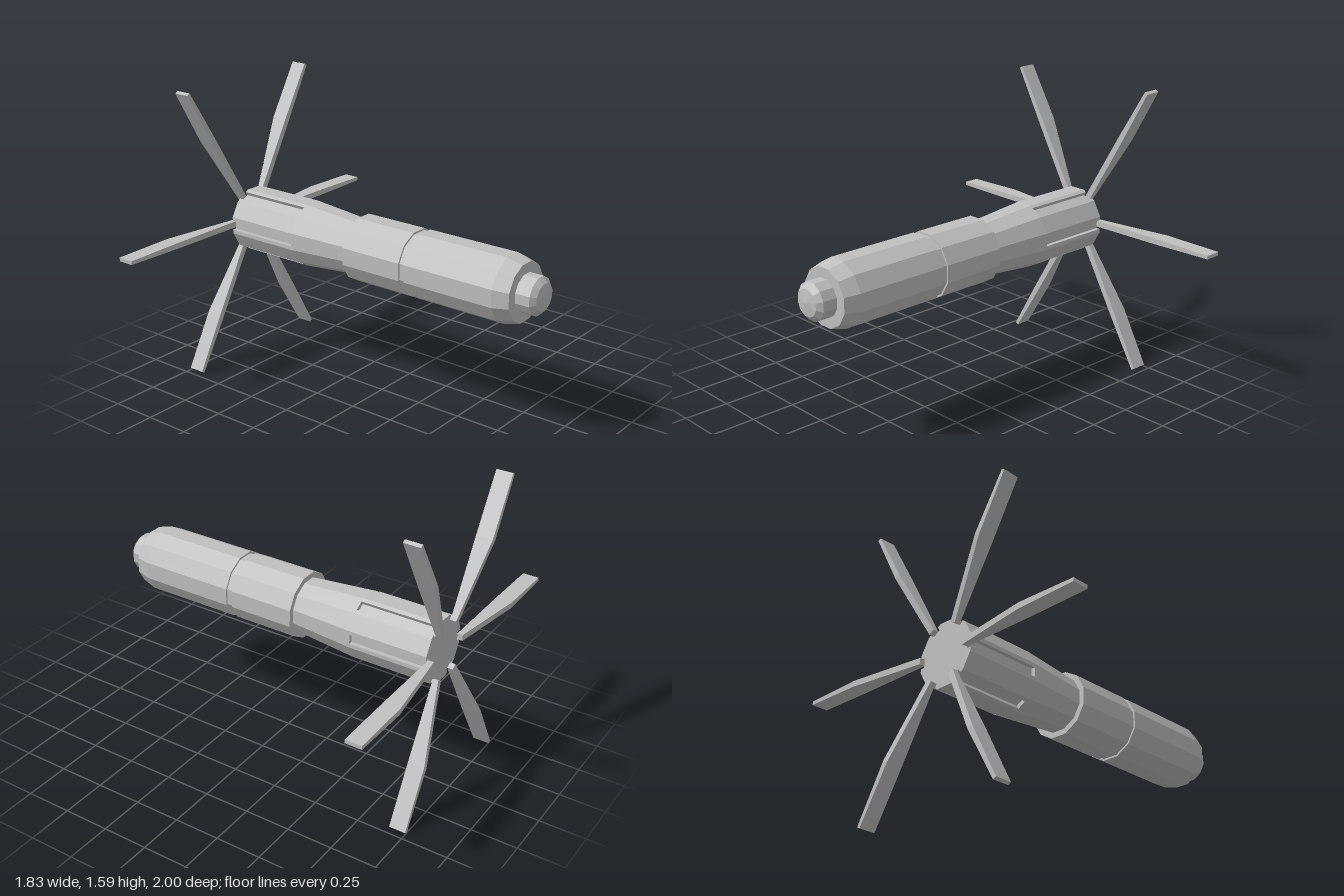
import * as THREE from 'three';

const SIDES = 12, AXIS_Y = 0.8;
const APOTHEM = Math.cos(Math.PI / SIDES); // profile radii are measured to the flats
const metal = new THREE.MeshStandardMaterial({ color: 0xc0c0c0, flatShading: true });
metal.name = 'greyMetal';

// Twelve-sided turned part along z; profile is [z, radius to flat], rear to front
function turned(name, profile) {
  const pts = profile.map(([z, r]) => new THREE.Vector2(r / APOTHEM, z));
  const geo = new THREE.LatheGeometry(pts, SIDES, Math.PI / SIDES);
  geo.rotateX(Math.PI / 2);
  const mesh = new THREE.Mesh(geo, metal);
  mesh.name = name;
  return mesh;
}

// Tail barrel: twelve-sided prism with a slot in every second flat
function slottedTail() {
  const shape = new THREE.Shape();
  const r = 0.175, floor = 0.152, half = 0.026;
  const side = r * Math.tan(Math.PI / SIDES);
  for (let i = 0; i < 6; i++) {
    const a = (i * Math.PI) / 3, c = Math.cos(a), s = Math.sin(a);
    [[r, -side], [r, -half], [floor, -half], [floor, half], [r, half], [r, side]].forEach(([u, v], k) => {
      const x = u * c - v * s, y = u * s + v * c;
      if (i === 0 && k === 0) shape.moveTo(x, y);
      else shape.lineTo(x, y);
    });
  }
  const geo = new THREE.ExtrudeGeometry(shape, { depth: 0.43, bevelEnabled: false });
  geo.translate(0, 0, -0.91);
  const mesh = new THREE.Mesh(geo, metal);
  mesh.name = 'slottedTail';
  return mesh;
}

// Fin blade from rectangular sections: [distance from axis, rear z, half thickness]
function finGeometry() {
  const sections = [[0.15, -0.94, 0.017], [0.58, -1, 0.016], [0.915, -1, 0.01]];
  const front = -0.91, pos = [], idx = [];
  for (const [x, back, t] of sections) pos.push(x, -t, front, x, t, front, x, t, back, x, -t, back);
  for (let s = 0; s < sections.length - 1; s++) {
    for (let k = 0; k < 4; k++) {
      const a = s * 4 + k, b = s * 4 + ((k + 1) % 4);
      idx.push(a, a + 4, b, b, a + 4, b + 4);
    }
  }
  const e = (sections.length - 1) * 4;
  idx.push(0, 1, 2, 0, 2, 3, e, e + 2, e + 1, e, e + 3, e + 2);
  const geo = new THREE.BufferGeometry();
  geo.setAttribute('position', new THREE.Float32BufferAttribute(pos, 3));
  geo.setIndex(idx);
  geo.computeVertexNormals();
  return geo;
}

export function createModel() {
  const model = new THREE.Group();
  model.name = 'finnedProjectile';
  const body = new THREE.Group();
  body.name = 'body';
  body.position.y = AXIS_Y;
  model.add(body);

  // Main casing with a shallow ring groove and chamfered front
  body.add(turned('casing', [
    [-0.125, 0], [-0.125, 0.175], [0.24, 0.175], [0.24, 0.165], [0.275, 0.165],
    [0.275, 0.175], [0.8, 0.175], [0.885, 0.152], [0.885, 0],
  ]));
  // Domed nose plug
  body.add(turned('nose', [[0.885, 0.098], [0.965, 0.098], [0.99, 0.07], [1, 0]]));
  // Waist flaring out toward the tail
  body.add(turned('taperedWaist', [[-0.48, 0], [-0.48, 0.175], [-0.125, 0.145]]));
  body.add(slottedTail());

  // Six unfolded fins around the rear end
  const fins = new THREE.Group();
  fins.name = 'fins';
  const blade = finGeometry();
  for (let i = 0; i < 6; i++) {
    const fin = new THREE.Mesh(blade, metal);
    fin.name = 'fin';
    fin.rotation.z = (i * Math.PI) / 3;
    fins.add(fin);
  }
  body.add(fins);
  return model;
}
